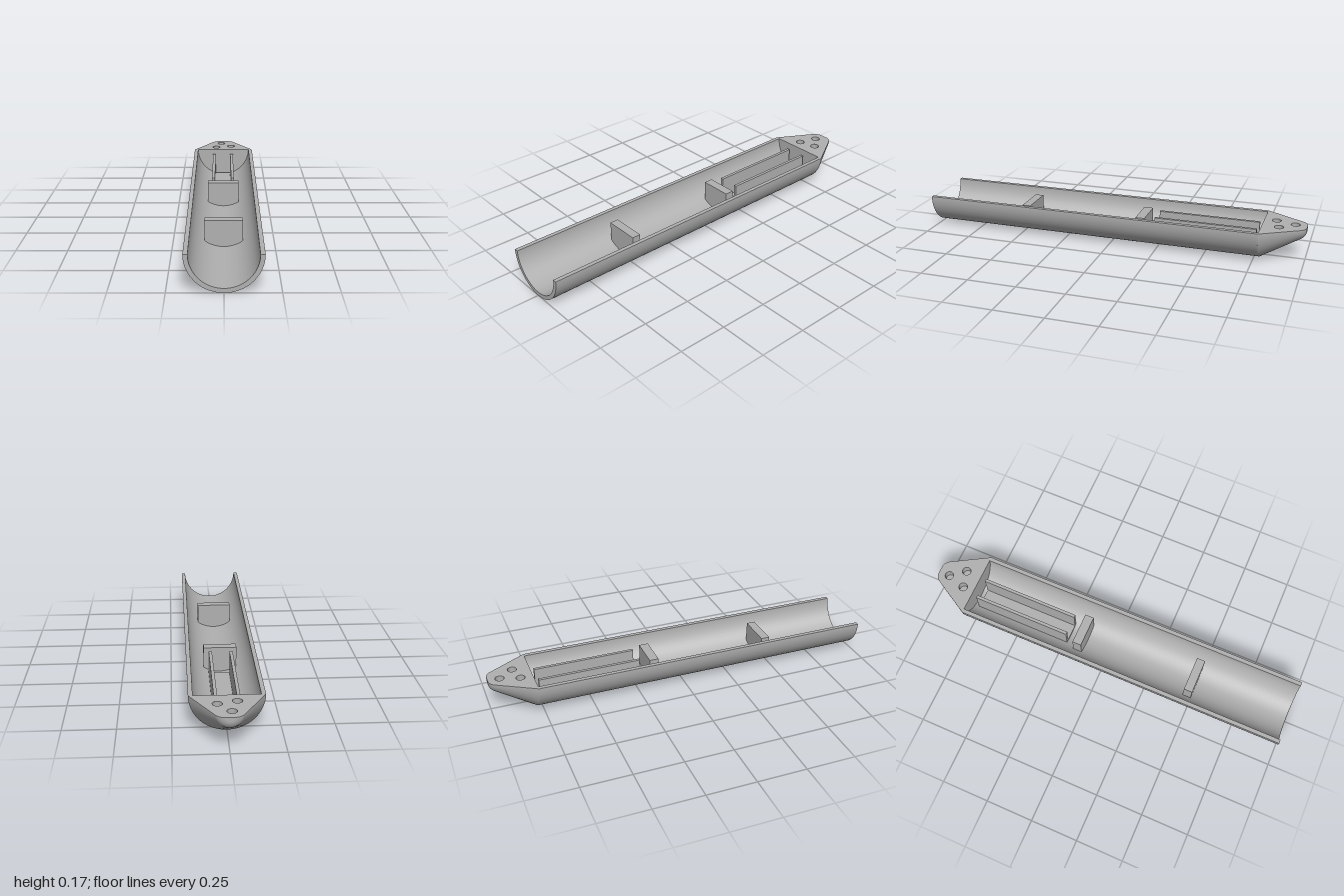
import * as THREE from 'three';
import { toCreasedNormals } from 'three/addons/utils/BufferGeometryUtils.js';

const R = 0.175, INNER = 0.154, SHOULDER = 0.78, TOP = 0.152;

export function createModel() {
  const model = new THREE.Group();
  const grey = new THREE.MeshStandardMaterial({ color: 0xb0b0b0, side: THREE.DoubleSide });
  grey.name = 'plain grey';

  const add = (name, geometry, x = 0, y = 0, z = 0, parent = model) => {
    const mesh = new THREE.Mesh(geometry, grey);
    mesh.name = name;
    mesh.position.set(x, y, z);
    parent.add(mesh);
    return mesh;
  };
  const extrude = (shape, depth) => toCreasedNormals(
    new THREE.ExtrudeGeometry(shape, { depth, bevelEnabled: false, curveSegments: 48 }), 0.5);

  // Half-pipe hull, open at the front
  const ring = new THREE.Shape();
  ring.absarc(0, 0, R, Math.PI, 2 * Math.PI, false);
  ring.absarc(0, 0, INNER, 2 * Math.PI, Math.PI, true);
  ring.closePath();
  add('hull', extrude(ring, 1 + SHOULDER), 0, R, -SHOULDER);

  // Nose outline: 30 degree cone with a rounded tip, as (radius, distance back)
  const fillet = 0.05;
  const tipR = R - (1 - SHOULDER) * Math.tan(Math.PI / 6) - fillet * Math.tan(Math.PI / 6);
  const profile = [new THREE.Vector2(R, SHOULDER)];
  for (let i = 0; i <= 10; i++) {
    const a = (Math.PI / 6) + (i / 10) * (Math.PI / 3);
    profile.push(new THREE.Vector2(tipR + fillet * Math.cos(a), 1 - fillet + fillet * Math.sin(a)));
  }
  profile.push(new THREE.Vector2(0, 1));

  const nose = new THREE.Group();
  nose.name = 'nose';
  model.add(nose);
  const cone = new THREE.LatheGeometry(profile, 48, Math.PI / 2, Math.PI);
  cone.rotateX(-Math.PI / 2);
  add('noseCone', cone, 0, R, 0, nose);
  add('noseWall', new THREE.CircleGeometry(R, 48, Math.PI, Math.PI), 0, R, -SHOULDER, nose);

  // Flat nose deck with three blind holes
  const mirrored = profile.slice(0, -1).reverse().map(p => new THREE.Vector2(-p.x, p.y));
  const deck = new THREE.Shape([...profile.slice(0, -1), ...mirrored]);
  const holeR = 0.023, holeDepth = 0.04;
  for (const [x, back] of [[-0.012, 0.94], [-0.042, 0.842], [0.048, 0.866]]) {
    const hole = new THREE.Path();
    hole.absarc(x, back, holeR, 0, 2 * Math.PI, true);
    deck.holes.push(hole);
    add('holeWall', new THREE.CylinderGeometry(holeR, holeR, holeDepth, 24, 1, true),
      x, R - holeDepth / 2, -back, nose);
    const floor = new THREE.CircleGeometry(holeR, 24).rotateX(-Math.PI / 2);
    add('holeFloor', floor, x, R - holeDepth, -back, nose);
  }
  add('noseDeck', new THREE.ShapeGeometry(deck, 24).rotateX(-Math.PI / 2), 0, R, 0, nose);

  // Upright part whose underside follows the curve of the hull
  const upright = (name, x0, x1, z0, z1, top) => {
    const r = INNER + 0.006;
    const s = new THREE.Shape();
    s.moveTo(x1, top - R);
    s.lineTo(x0, top - R);
    s.absarc(0, 0, r, Math.PI + Math.acos(-x0 / r), 2 * Math.PI - Math.acos(x1 / r), false);
    s.closePath();
    add(name, extrude(s, z1 - z0), 0, R, z0);
  };

  // Two cross supports
  upright('rearSupport', -0.086, 0.082, -0.18, -0.132, TOP);
  upright('frontSupport', -0.093, 0.091, 0.455, 0.5, TOP + 0.001);

  // Channel: two rails and a low floor between them
  upright('leftRail', 0.042, 0.058, -0.757, -0.228, TOP);
  upright('rightRail', -0.063, -0.047, -0.757, -0.228, TOP);
  upright('channelFloor', -0.047, 0.042, -0.757, -0.228, 0.034);

  return model;
}
